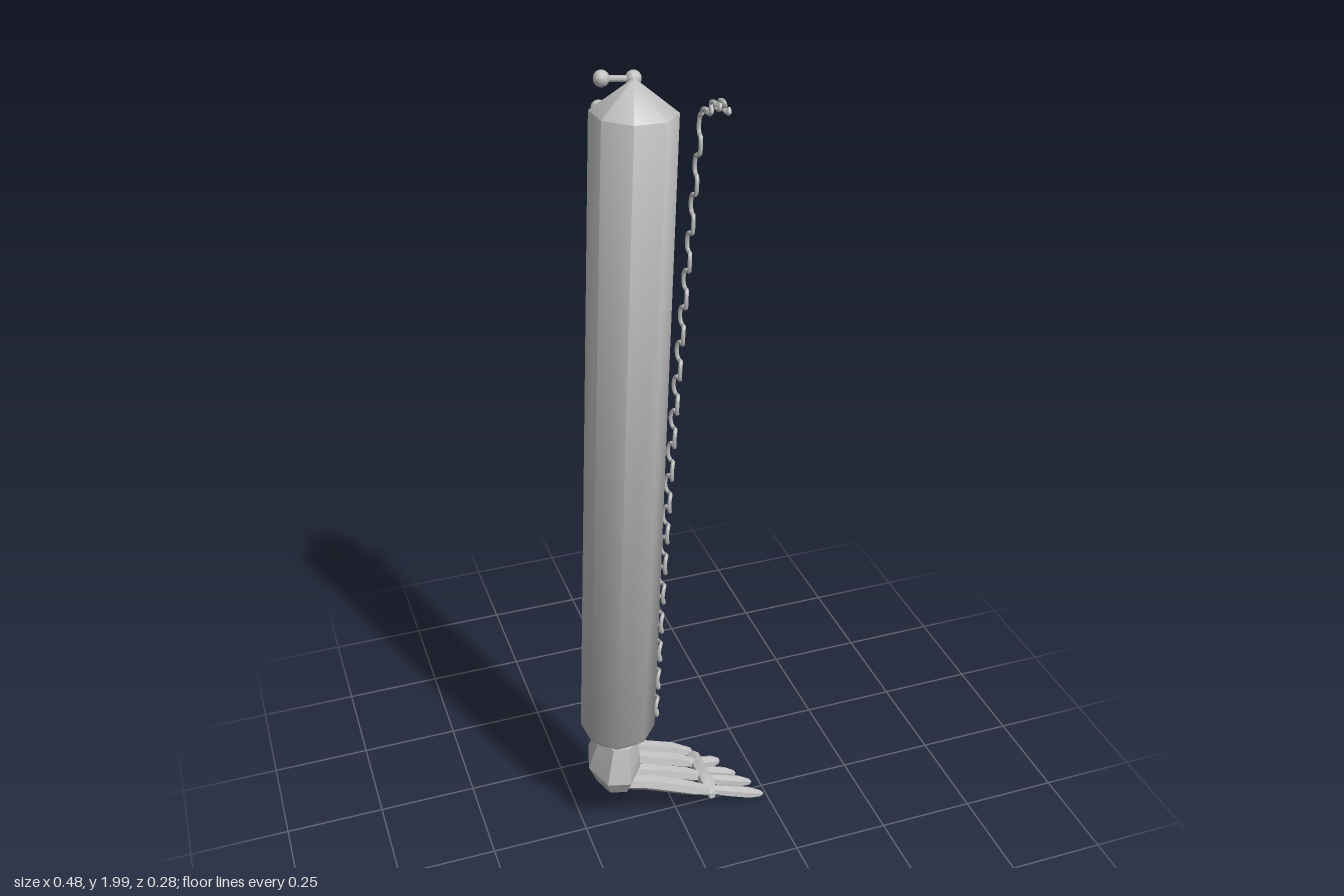
import * as THREE from 'three';
import { toCreasedNormals } from 'three/addons/utils/BufferGeometryUtils.js';

const grey = new THREE.MeshStandardMaterial({ color: 0xc0c0c0 });
grey.name = 'grey';

// Skin rings [x, y, z, sideRadius, otherRadius] set across the first-to-last axis.
function loft(rows, sides, phase = 0, crease = 0.1) {
  const centre = (r) => new THREE.Vector3(r[0], r[1], r[2]);
  const d = centre(rows[rows.length - 1]).sub(centre(rows[0])).normalize();
  const u = Math.abs(d.z) > 0.8 ? new THREE.Vector3(1, 0, 0) : new THREE.Vector3(0, 0, 1);
  u.addScaledVector(d, -u.dot(d)).normalize();
  const v = new THREE.Vector3().crossVectors(d, u);
  const pos = [], idx = [];
  for (const r of rows) {
    for (let i = 0; i < sides; i++) {
      const a = phase + (i / sides) * Math.PI * 2;
      const p = centre(r).addScaledVector(u, r[3] * Math.cos(a)).addScaledVector(v, r[4] * Math.sin(a));
      pos.push(p.x, p.y, p.z);
    }
  }
  for (let j = 0; j < rows.length - 1; j++) {
    for (let i = 0; i < sides; i++) {
      const k = (i + 1) % sides;
      const a = j * sides + i, b = j * sides + k, c = a + sides, e = b + sides;
      idx.push(a, b, e, a, e, c);
    }
  }
  // end caps
  const last = (rows.length - 1) * sides;
  for (let i = 1; i < sides - 1; i++) {
    idx.push(0, i + 1, i, last, last + i, last + i + 1);
  }
  const g = new THREE.BufferGeometry();
  g.setAttribute('position', new THREE.Float32BufferAttribute(pos, 3));
  g.setIndex(idx);
  return toCreasedNormals(g, crease);
}

export function createModel() {
  const model = new THREE.Group();
  model.name = 'limb';
  const add = (name, geo, parent = model) => {
    const m = new THREE.Mesh(geo, grey);
    m.name = name;
    parent.add(m);
    return m;
  };

  // Long eight-sided shaft with pointed ends
  add('shaft', loft([
    [-0.153, 0.28, -0.02, 0.05, 0.05],
    [-0.15, 0.325, -0.02, 0.095, 0.095],
    [-0.079, 1.93, -0.03, 0.094, 0.094],
    [-0.078, 1.997, -0.03, 0.004, 0.004],
  ], 8, -0.31, 1.1));

  // Faceted ankle
  add('ankle', loft([
    [-0.157, 0.125, -0.03, 0.025, 0.02],
    [-0.162, 0.15, -0.025, 0.07, 0.05],
    [-0.164, 0.2, -0.025, 0.098, 0.068],
    [-0.158, 0.25, -0.018, 0.08, 0.06],
    [-0.152, 0.297, -0.015, 0.066, 0.05],
  ], 7, 0.3, 0.5));

  // Foot: four long bones, a knuckle bar and four toes
  const foot = new THREE.Group();
  foot.name = 'foot';
  model.add(foot);
  // [bone start z, bone end z, toe tip x, toe tip y, toe tip z]
  const digits = [
    [0.04, 0.038, 0.24, 0.012, 0.034],
    [0.0, -0.02, 0.225, 0.015, -0.016],
    [-0.055, -0.076, 0.192, 0.025, -0.052],
    [-0.1, -0.125, 0.163, 0.04, -0.1],
  ];
  digits.forEach(([z0, z1, tx, ty, tz], i) => {
    add('footBone', loft([
      [-0.15, 0.175, z0, 0.016, 0.018],
      [-0.09, 0.158, z0 * 0.7 + z1 * 0.3, 0.02, 0.021],
      [0.03, 0.1, z1, 0.02, 0.019],
      [0.085, 0.072, z1, 0.013, 0.013],
    ], 6, 0.2, 0.5), foot);
    const bx = 0.08, by = i === 3 ? 0.06 : 0.07, bz = tz * 0.9 - 0.005;
    const at = (t, r) => [bx + (tx - bx) * t, by + (ty - by) * t, bz + (tz - bz) * t, r, r * 0.8];
    add('toe', loft([at(0, 0.013), at(0.35, 0.018), at(0.75, 0.018), at(0.94, 0.011), at(1, 0.004)], 6, 0.4, 0.5), foot);
  });
  add('knuckleBar', loft([
    [0.08, 0.06, -0.14, 0.01, 0.01],
    [0.088, 0.066, -0.115, 0.021, 0.018],
    [0.085, 0.08, -0.04, 0.02, 0.016],
    [0.085, 0.082, 0.02, 0.021, 0.016],
    [0.086, 0.07, 0.055, 0.01, 0.01],
  ], 6, 0.3, 0.5), foot);

  // Rows of paired knobs up the back, each pair joined by a short rod
  const knobs = new THREE.Group();
  knobs.name = 'knobRows';
  model.add(knobs);
  const ball = new THREE.SphereGeometry(0.018, 10, 8);
  const rod = new THREE.CylinderGeometry(0.007, 0.007, 0.07, 6).rotateZ(Math.PI / 2);
  const rows = 25;
  for (let i = 0; i < rows; i++) {
    const t = i / (rows - 1);
    const pair = new THREE.Group();
    pair.name = 'knobPair';
    pair.position.set(-0.16 + 0.072 * t, 0.365 + 1.61 * t, i === rows - 1 ? -0.112 : -0.11 - 0.017 * t);
    pair.rotation.z = -0.1;
    knobs.add(pair);
    add('knobRod', rod, pair);
    for (const s of [-1, 1]) add('knob', ball, pair).position.x = s * 0.035;
  }

  // Curling tendril rising along the left side, its tip bending forward
  const path = [];
  const n = 400;
  for (let i = 0; i <= n; i++) {
    const t = i / n;
    const w = t * 18 * Math.PI * 2;
    const amp = 0.024 - 0.013 * t;
    path.push(new THREE.Vector3(
      -0.064 + 0.09 * t + 0.03 * t * t + 0.006 * Math.cos(w * 2) * (1 - t),
      0.38 + 1.54 * t - amp * 0.55 * Math.sin(2 * w),
      0.022 - 0.018 * t + amp * Math.sin(w),
    ));
  }
  for (let i = 1; i <= 32; i++) {
    const t = i / 32;
    path.push(new THREE.Vector3(
      0.056 + 0.01 * t,
      1.92 + 0.05 * Math.sin(t * 1.9) + 0.009 * Math.sin(t * 20),
      0.01 + 0.13 * t - 0.008 * Math.sin(t * 40),
    ));
  }
  add('tendril', new THREE.TubeGeometry(new THREE.CatmullRomCurve3(path), 1200, 0.005, 5));

  return model;
}
